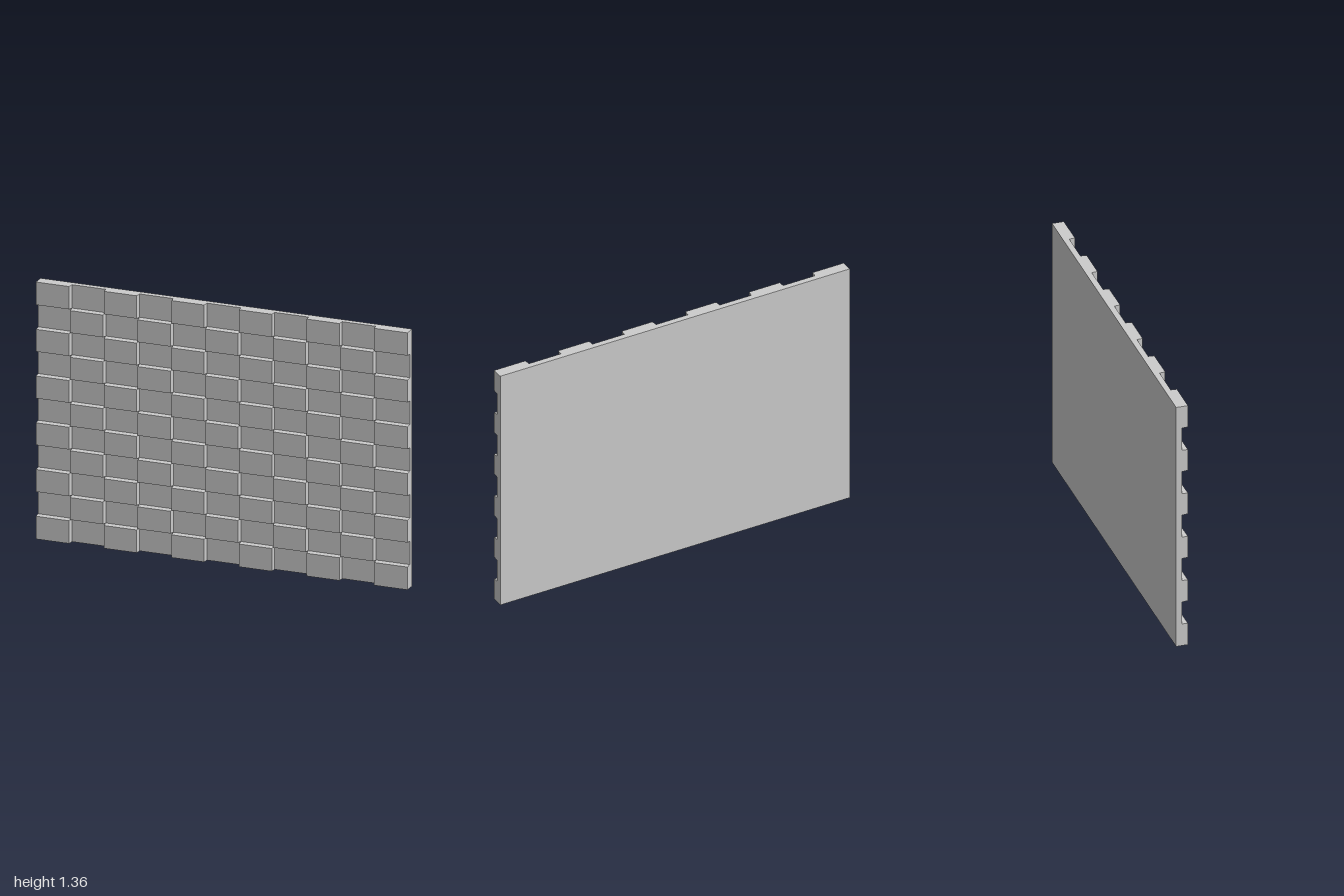
import * as THREE from 'three';

const W = 2, H = 1.36, D = 0.062, N = 11, TAPER = 0.003;

export function createModel() {
  const model = new THREE.Group();
  model.name = 'checkeredPanel';
  const material = new THREE.MeshStandardMaterial({ color: 0xcccccc, flatShading: true });

  // Flat backing slab, rear half of the thickness
  const slab = new THREE.Mesh(new THREE.BoxGeometry(W, H, D / 2), material);
  slab.name = 'backingSlab';
  slab.position.set(0, H / 2, -D / 4);
  model.add(slab);

  // Raised blocks on alternating cells, corners included
  const blocks = new THREE.Group();
  blocks.name = 'raisedBlocks';
  const cw = W / N, ch = H / N;
  for (let row = 0; row < N; row++) {
    for (let col = row % 2; col < N; col += 2) {
      const geometry = new THREE.BoxGeometry(cw, ch, D / 2);
      const p = geometry.attributes.position;
      // Inner sides narrow slightly to the front; the panel's rim stays flush
      for (let i = 0; i < p.count; i++) {
        if (p.getZ(i) < 0) continue;
        const sx = Math.sign(p.getX(i)), sy = Math.sign(p.getY(i));
        const rimX = col === (sx > 0 ? N - 1 : 0);
        const rimY = row === (sy > 0 ? N - 1 : 0);
        if (!rimX) p.setX(i, p.getX(i) - sx * TAPER);
        if (!rimY) p.setY(i, p.getY(i) - sy * TAPER);
      }
      geometry.computeVertexNormals();
      const block = new THREE.Mesh(geometry, material);
      block.name = 'raisedBlock';
      block.position.set(-W / 2 + (col + 0.5) * cw, (row + 0.5) * ch, D / 4);
      blocks.add(block);
    }
  }
  model.add(blocks);
  return model;
}
